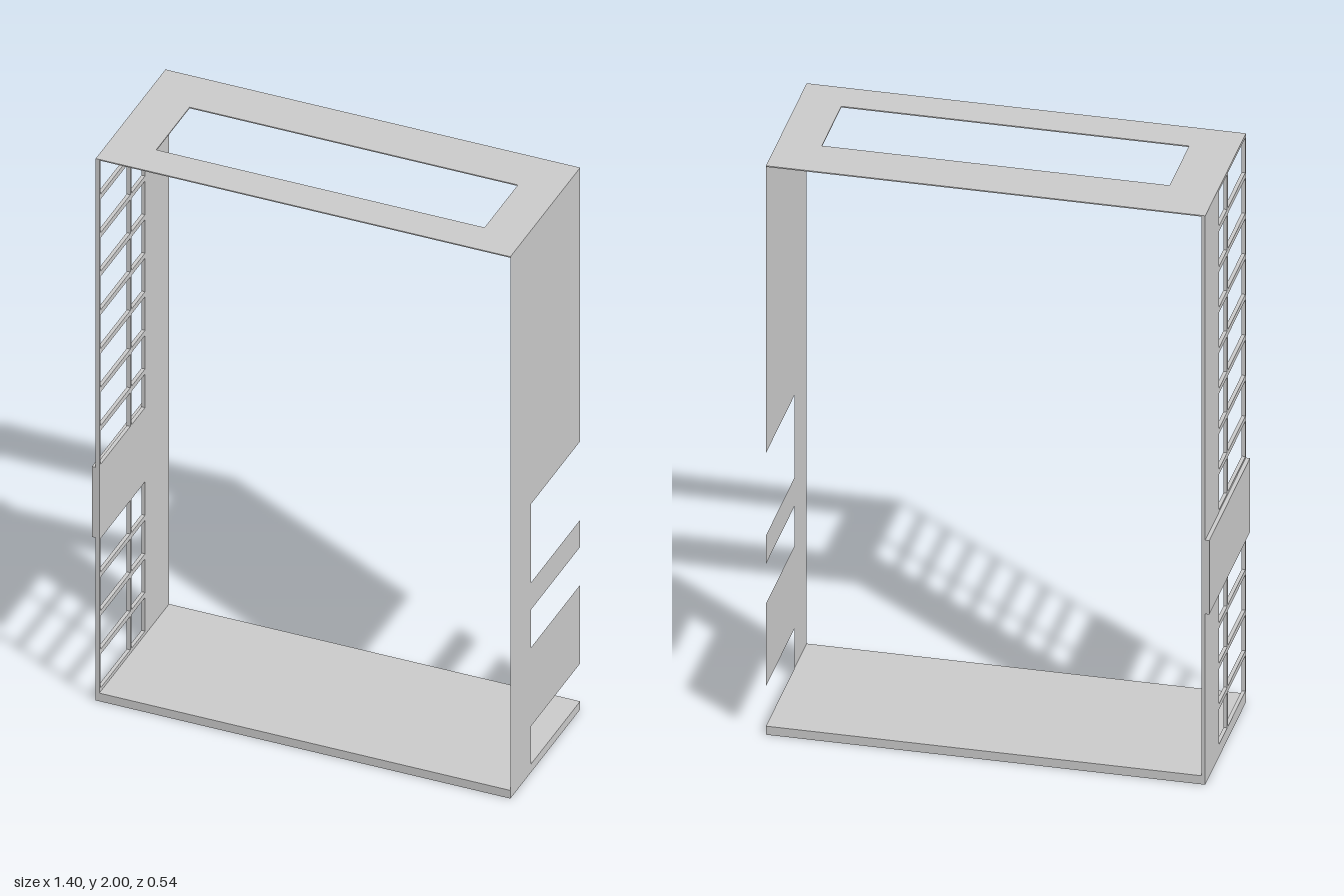
import * as THREE from 'three';

const Z = 0.272; // half depth
const material = new THREE.MeshStandardMaterial({ color: 0xcccccc, flatShading: true, side: THREE.DoubleSide });

function rectangle(Type, a0, b0, a1, b1) {
  const r = new Type();
  r.moveTo(a0, b0).lineTo(a1, b0).lineTo(a1, b1).lineTo(a0, b1).closePath();
  return r;
}

function extrude(shape, depth) {
  return new THREE.ExtrudeGeometry(shape, { depth, bevelEnabled: false });
}

export function createModel() {
  const group = new THREE.Group();
  const add = (name, geometry, x = 0, y = 0, z = 0) => {
    const mesh = new THREE.Mesh(geometry, material);
    mesh.name = name;
    mesh.position.set(x, y, z);
    group.add(mesh);
    return mesh;
  };

  // Floor slab
  add('floor', new THREE.BoxGeometry(1.39, 0.03, 2 * Z), 0.005, 0.015, 0);

  // Thin roof with a long rectangular opening
  const roof = rectangle(THREE.Shape, -0.69, -Z, 0.7, Z);
  roof.holes.push(rectangle(THREE.Path, -0.54, -0.107, 0.562, 0.153));
  add('roof', extrude(roof, 0.004).rotateX(Math.PI / 2), 0, 2, 0);

  // Sheet side wall with three notches open to the back (drawn in z, y)
  const wall = new THREE.Shape();
  wall.moveTo(-Z, 0).lineTo(Z, 0).lineTo(Z, 2).lineTo(-Z, 2);
  for (const [low, high] of [[0.7, 0.99], [0.46, 0.6], [0.03, 0.17]]) {
    wall.lineTo(-Z, high).lineTo(0.11, high).lineTo(0.11, low).lineTo(-Z, low);
  }
  wall.closePath();
  add('notchedWall', new THREE.ShapeGeometry(wall).rotateY(-Math.PI / 2), 0.7);

  // Glazed side wall: two columns of panes below and above a solid band
  const windowWall = rectangle(THREE.Shape, -Z, 0, Z, 2);
  for (const [start, count] of [[0.043, 4], [0.868, 8]]) {
    for (let i = 0; i < count; i++) {
      const y = start + i * 0.1425;
      for (const [z0, z1] of [[-0.085, 0.022], [0.03, 0.264]]) {
        windowWall.holes.push(rectangle(THREE.Path, z0, y, z1, y + 0.124));
      }
    }
  }
  add('windowWall', extrude(windowWall, 0.012).rotateY(-Math.PI / 2), -0.68);

  // Raised band across the outside of the glazed wall
  add('outerBand', new THREE.BoxGeometry(0.013, 0.26, 2 * Z), -0.6985, 0.73, 0);

  return group;
}
